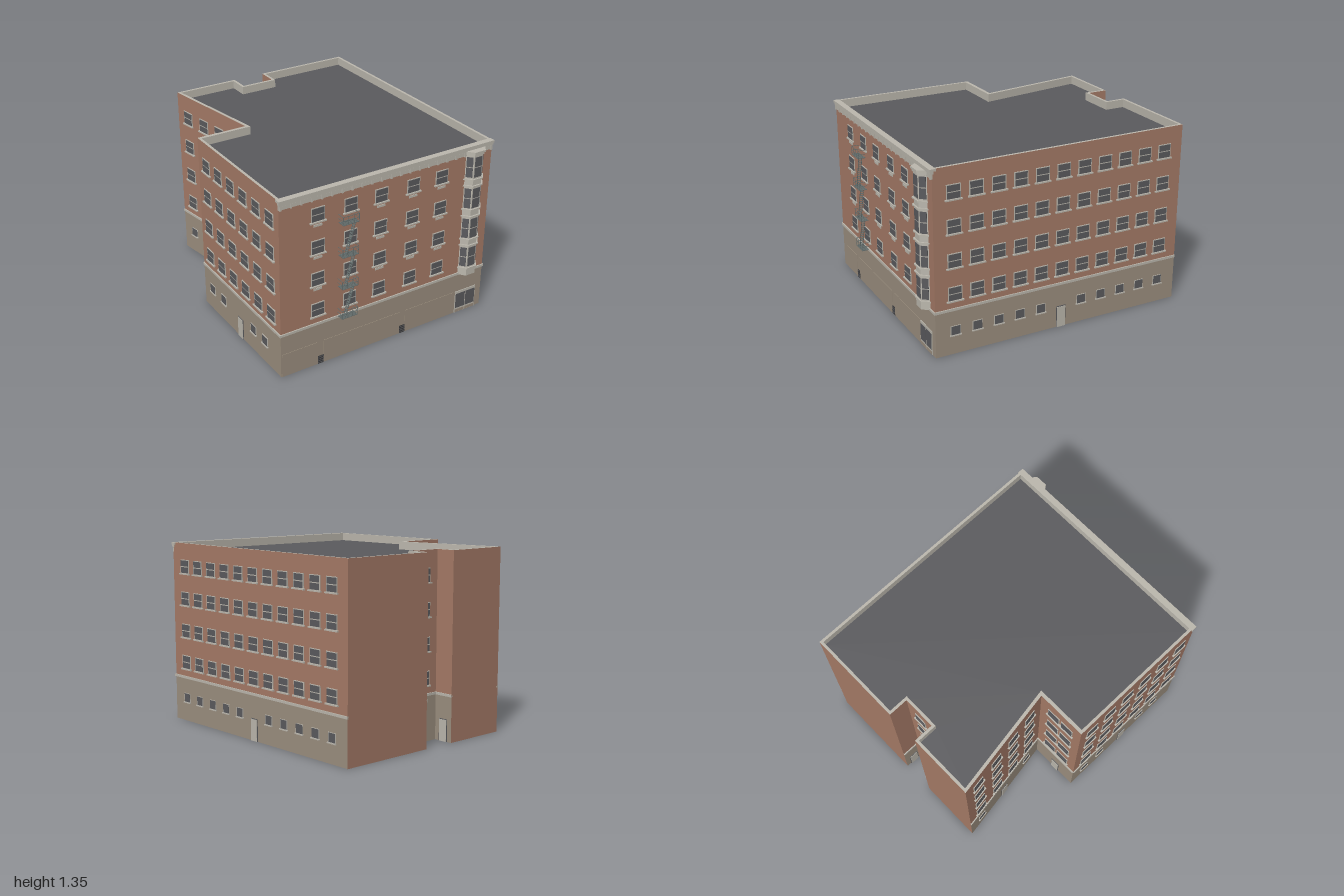
import * as THREE from 'three';

const mat = (name, color, side = THREE.FrontSide) => {
  const m = new THREE.MeshStandardMaterial({ color, side });
  m.name = name;
  return m;
};

export function createModel() {
  const brick = mat('brick', 0xa67b67);
  const stone = mat('stone', 0x9c8f7f);
  const trim = mat('paleTrim', 0xbcb8ae, THREE.DoubleSide);
  const dark = mat('darkGrey', 0x5b5b5e, THREE.DoubleSide);
  const iron = mat('iron', 0x66706f);
  const black = mat('grille', 0x3a3a3c);

  const H = 1.35, BASE = 0.33, ROOF = 1.29;
  const rows = [0.452, 0.692, 0.935, 1.175];
  const model = new THREE.Group();
  model.name = 'cornerBuilding';

  const add = (parent, name, geo, material, x = 0, y = 0, z = 0) => {
    const m = new THREE.Mesh(geo, material);
    m.name = name;
    m.position.set(x, y, z);
    parent.add(m);
    return m;
  };
  const box = (parent, name, material, w, h, d, x, y, z) =>
    add(parent, name, new THREE.BoxGeometry(w, h, d), material, x, y, z);

  // Group whose +x runs from a to b and whose +z points out of the wall
  const frame = (parent, name, a, b) => {
    const g = new THREE.Group();
    g.name = name;
    g.position.set(a[0], 0, a[1]);
    g.rotation.y = Math.atan2(a[1] - b[1], b[0] - a[0]);
    g.userData.length = Math.hypot(b[0] - a[0], b[1] - a[1]);
    parent.add(g);
    return g;
  };
  const panel = (g, name, material, y0, y1) => {
    const L = g.userData.length;
    add(g, name, new THREE.PlaneGeometry(L, y1 - y0), material, L / 2, (y0 + y1) / 2, 0);
  };

  // Sash window: pale frame, two panes and a sill
  const sash = (g, x, y, w = 0.104, h = 0.104) => {
    box(g, 'windowFrame', trim, w, h, 0.006, x, y, 0.002);
    for (const s of [-1, 1])
      box(g, 'windowPane', dark, w - 0.012, h / 2 - 0.009, 0.003, x, y + s * (h / 4 - 0.001), 0.0055);
    box(g, 'windowSill', trim, w + 0.02, 0.01, 0.018, x, y - h / 2 - 0.002, 0.005);
  };
  const smallWindow = (g, x) => {
    box(g, 'baseWindowFrame', trim, 0.074, 0.07, 0.005, x, 0.178, 0.002);
    box(g, 'baseWindowPane', dark, 0.066, 0.063, 0.003, x, 0.179, 0.0045);
    box(g, 'baseWindowSill', trim, 0.085, 0.008, 0.014, x, 0.142, 0.004);
  };
  const door = (g, x) => {
    box(g, 'doorSurround', dark, 0.074, 0.162, 0.036, x, 0.081, -0.014);
    box(g, 'doorLeaf', trim, 0.066, 0.157, 0.004, x, 0.0785, 0.005);
  };

  // Footprint, outer and inner
  const outer = [[-0.86, 0.94], [0.86, 0.94], [0.86, -1], [0.13, -1], [0.13, -0.85],
    [-0.12, -0.85], [-0.12, -1], [-0.615, -1], [-0.48, -0.17], [-0.86, -0.17]];
  const inner = [[-0.84, 0.912], [0.84, 0.912], [0.84, -0.98], [0.15, -0.98], [0.15, -0.83],
    [-0.14, -0.83], [-0.14, -0.98], [-0.59, -0.98], [-0.452, -0.145], [-0.84, -0.145]];
  const names = ['frontWall', 'leftSideWall', 'backWall', 'lightwellSideA', 'lightwellBack',
    'lightwellSideB', 'backWallNarrow', 'slantedWall', 'setbackWall', 'rightSideWall'];

  // Walls: blank brick at the back, brick over stone with a belt course elsewhere
  const walls = outer.map((p, i) => {
    const g = frame(model, names[i], p, outer[(i + 1) % outer.length]);
    if (i === 2 || i === 6) {
      panel(g, 'blankBrick', brick, 0, H);
    } else {
      panel(g, 'stoneBase', stone, 0, BASE);
      panel(g, 'upperBrick', brick, BASE, H);
      const L = g.userData.length;
      box(g, 'beltCourse', trim, L + (i === 0 ? 0.016 : 0), 0.018, 0.016, L / 2, 0.336, 0);
    }
    return g;
  });
  inner.forEach((p, i) => {
    const g = frame(model, 'innerLining', inner[(i + 1) % inner.length], p);
    panel(g, 'lining', trim, 0, H);
  });

  // Parapet coping, wall feet and roof deck
  const toShape = (pts) => new THREE.Shape(pts.map(([x, z]) => new THREE.Vector2(x, -z)));
  const ring = toShape(outer);
  ring.holes.push(toShape(inner));
  const flat = (s) => new THREE.ShapeGeometry(s).rotateX(-Math.PI / 2);
  add(model, 'parapetCoping', flat(ring), trim, 0, H, 0);
  add(model, 'wallFeet', flat(ring), trim);
  add(model, 'roofDeck', flat(toShape(inner)), dark, 0, ROOF, 0);

  // Window and door layout, measured along each wall
  const [front, east, , wellA, wellBack, wellB, , slant, setback, west] = walls;
  const columns = (g, xs, w) => xs.forEach((x) => rows.forEach((y) => sash(g, x, y, w)));
  const eastCols = Array.from({ length: 11 }, (_, i) => 0.148 + i * 0.1645);
  columns(east, eastCols);
  eastCols.forEach((x, i) => (i === 5 ? door(east, x) : smallWindow(east, x)));
  columns(west, [0.12, 0.295, 0.47, 0.645, 0.82, 0.995]);
  [0.13, 0.3, 0.74, 0.9].forEach((x) => smallWindow(west, x));
  door(west, 0.55);
  columns(slant, [0.13, 0.33, 0.52, 0.71]);
  [0.13, 0.69].forEach((x) => smallWindow(slant, x));
  door(slant, 0.41);
  columns(setback, [0.13, 0.255], 0.11);
  door(setback, 0.2);
  columns(wellBack, [0.125]);
  door(wellBack, 0.1);
  door(wellA, 0.075);
  door(wellB, 0.075);

  // Front windows with vents; the front group is centred on x for easier placing
  const face = new THREE.Group();
  face.name = 'frontDetails';
  face.position.z = 0.94;
  model.add(face);
  const frontCols = [-0.57, -0.315, -0.073, 0.19, 0.43];
  columns(face, frontCols);
  for (const x of frontCols)
    if (x !== -0.315)
      for (const y of rows.slice(1)) box(face, 'vent', trim, 0.066, 0.016, 0.006, x, y - 0.08, 0.002);

  // Ground-floor panels, stair grilles and shop window
  for (const [a, b] of [[-0.85, -0.57], [-0.52, 0.12], [0.168, 0.62]])
    box(face, 'basePanel', stone, b - a, 0.18, 0.006, (a + b) / 2, 0.09, 0);
  for (const x of [-0.545, 0.144]) {
    box(face, 'stairGrille', black, 0.046, 0.062, 0.006, x, 0.031, 0.001);
    for (let i = 0; i < 4; i++) box(face, 'grilleSlat', dark, 0.046, 0.004, 0.004, x, 0.01 + i * 0.015, 0.004);
  }
  box(face, 'shopFrame', trim, 0.185, 0.18, 0.008, 0.715, 0.09, 0.001);
  for (const s of [-1, 1]) {
    box(face, 'shopGlass', dark, 0.084, 0.122, 0.004, 0.715 + s * 0.0455, 0.099, 0.0045);
    box(face, 'shopKickPanel', stone, 0.084, 0.024, 0.004, 0.715 + s * 0.0455, 0.014, 0.0045);
  }

  // Cornice with brackets and dentils
  box(face, 'corniceTop', trim, 1.732, 0.016, 0.045, 0, 1.342, -0.005);
  box(face, 'corniceBand', trim, 1.726, 0.02, 0.024, 0, 1.326, 0);
  box(face, 'corniceFrieze', trim, 1.722, 0.034, 0.01, 0, 1.299, 0);
  for (let i = 0; i < 23; i++)
    box(face, 'corniceBracket', trim, 0.012, 0.04, 0.024, -0.85 + i * 0.0773, 1.299, 0);
  for (let i = 0; i < 75; i++)
    box(face, 'dentil', trim, 0.011, 0.008, 0.018, -0.85 + i * 0.023, 1.312, 0);

  // Bay window: three-sided shaft, spandrel bands and glass on every side
  const bay = new THREE.Group();
  bay.name = 'bayWindow';
  bay.position.x = 0.71;
  face.add(bay);
  const bayPlan = (e) => [[-0.076 - e, 0], [-0.037 - e * 0.6, 0.046 + e], [0.037 + e * 0.6, 0.046 + e], [0.076 + e, 0]];
  const prism = (name, e, y0, y1) => {
    const geo = new THREE.ExtrudeGeometry(toShape(bayPlan(e)), { depth: y1 - y0, bevelEnabled: false });
    add(bay, name, geo.rotateX(-Math.PI / 2), trim, 0, y0, 0);
  };
  prism('bayShaft', 0, 0.335, 1.31);
  prism('bayFoot', 0.004, 0.33, 0.385);
  for (const y of [0.385, 0.575, 0.625, 0.81, 0.865, 1.05, 1.1]) prism('bayMoulding', 0.011, y, y + 0.01);
  prism('bayCap', 0.008, 1.29, 1.305);
  prism('bayCapTop', 0.014, 1.305, 1.32);
  const plan = bayPlan(0);
  for (let i = 0; i < 3; i++) {
    const side = frame(bay, 'baySide', plan[i], plan[i + 1]);
    const L = side.userData.length;
    for (const y of [0.482, 0.717, 0.957, 1.198])
      for (const s of [-1, 1])
        box(side, 'bayGlass', dark, L - 0.014, 0.073, 0.004, L / 2, y + s * 0.04, 0.001);
  }

  // Fire escape: landings, railings and sloping stairs
  const escape = new THREE.Group();
  escape.name = 'fireEscape';
  face.add(escape);
  const up = new THREE.Vector3(0, 1, 0);
  const bar = (name, a, b, t = 0.0035) => {
    const va = new THREE.Vector3(...a), d = new THREE.Vector3(...b).sub(va);
    const m = add(escape, name, new THREE.BoxGeometry(t, d.length(), t), iron);
    m.position.copy(va).addScaledVector(d, 0.5);
    m.quaternion.setFromUnitVectors(up, d.normalize());
  };
  const xl = -0.41, xr = -0.285, zo = 0.057;
  [0.342, 0.577, 0.822, 1.067].forEach((y, i) => {
    for (let k = 0; k < 6; k++)
      box(escape, 'landingSlat', iron, xr - xl, 0.004, 0.007, (xl + xr) / 2, y, 0.006 + k * 0.01);
    for (const h of [0.03, 0.06]) {
      bar('rail', [xl, y + h, zo], [xr, y + h, zo], 0.003);
      for (const x of [xl, xr]) bar('rail', [x, y + h, 0], [x, y + h, zo], 0.003);
    }
    for (let k = 0; k < 4; k++) {
      const x = xl + (k * (xr - xl)) / 3;
      bar('railPost', [x, y, zo], [x, y + 0.06, zo], 0.003);
    }
    if (i === 3) return;
    for (const z of [0.022, 0.046]) bar('stairStringer', [-0.375, y, z], [-0.305, y + 0.245, z]);
    for (let k = 1; k < 14; k++)
      box(escape, 'stairTread', iron, 0.012, 0.003, 0.024, -0.375 + k * 0.005, y + k * 0.0175, 0.034);
  });

  return model;
}
